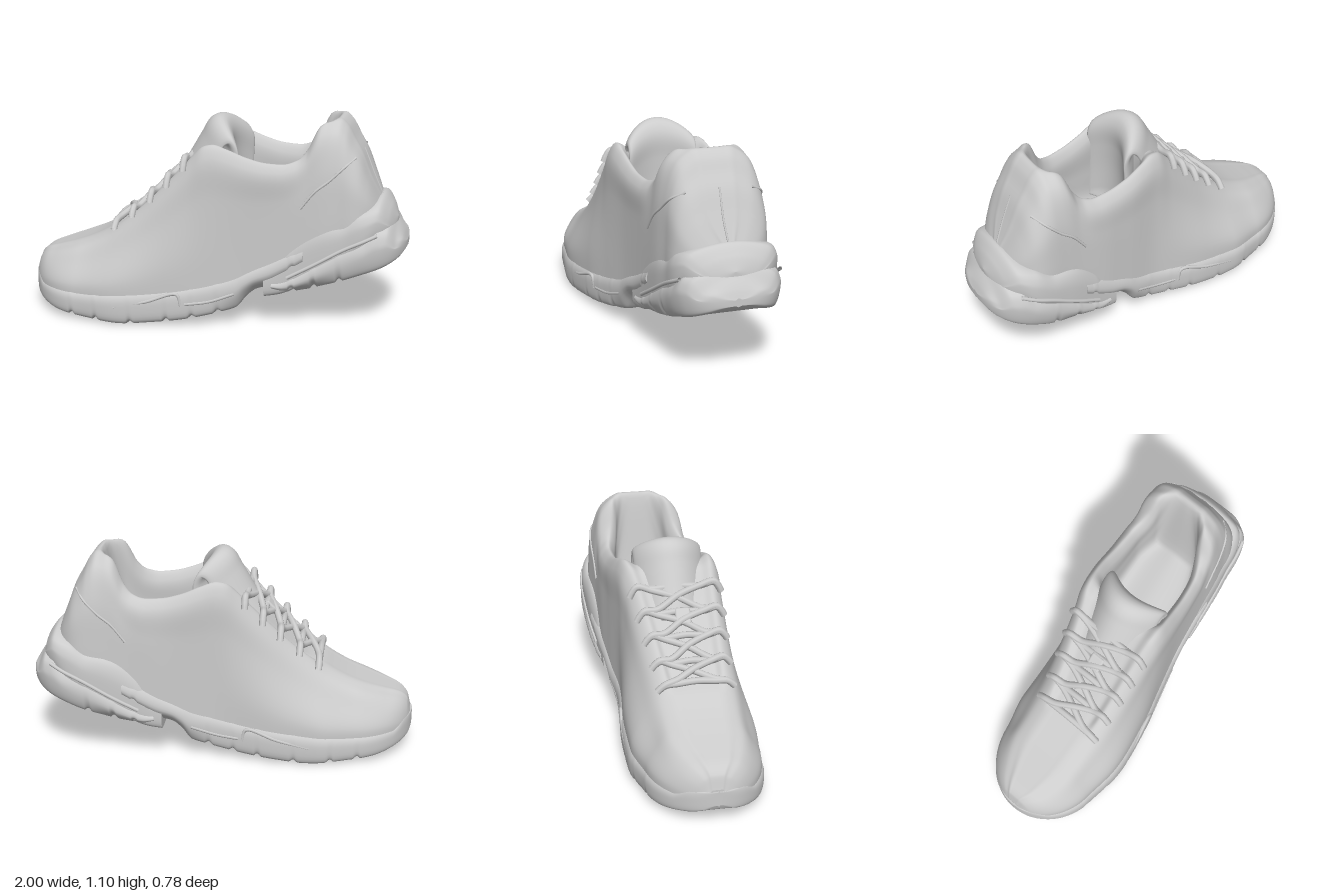
import * as THREE from 'three';
import { RoundedBoxGeometry } from 'three/addons/geometries/RoundedBoxGeometry.js';

const V = (x, y, z) => new THREE.Vector3(x, y, z);
const lerp = THREE.MathUtils.lerp;
const smooth = (a, b, x) => THREE.MathUtils.smoothstep(x, a, b);
const material = new THREE.MeshStandardMaterial({ color: 0xcccccc, side: THREE.DoubleSide });

// Monotone smooth curve through [x, value] pairs
function curve(pts) {
  const slope = (i) => (pts[i + 1][1] - pts[i][1]) / (pts[i + 1][0] - pts[i][0]);
  const tangent = (i) => {
    if (i === 0) return slope(0);
    if (i === pts.length - 1) return slope(i - 1);
    const a = slope(i - 1), b = slope(i);
    return a * b <= 0 ? 0 : (2 * a * b) / (a + b);
  };
  return (x) => {
    if (x <= pts[0][0]) return pts[0][1];
    if (x >= pts[pts.length - 1][0]) return pts[pts.length - 1][1];
    let i = 0;
    while (x > pts[i + 1][0]) i++;
    const d = pts[i + 1][0] - pts[i][0], t = (x - pts[i][0]) / d, u = 1 - t;
    return pts[i][1] * (1 + 2 * t) * u * u + tangent(i) * d * t * u * u
      + pts[i + 1][1] * t * t * (3 - 2 * t) - tangent(i + 1) * d * t * t * u;
  };
}

// Plan outline of the sole: left (+z) and far (-z) edges, with rounded toe and heel ends
const edgeF = curve([[-1, .35], [-.7, .365], [-.5, .385], [-.2, .34], [0, .285], [.2, .235], [.4, .205], [.6, .185],
  [.75, .165], [1, .155]]);
const edgeB = curve([[-1, -.2], [-.7, -.25], [-.5, -.3], [-.3, -.305], [0, -.285], [.2, -.315], [.4, -.35], [.6, -.385],
  [.75, -.395], [1, -.385]]);
function edges(x, inset) {
  const f = edgeF(x), b = edgeB(x), c = (f + b) / 2;
  const toe = Math.min(1, Math.max(0, (-.7 - x) / .3)), heel = Math.min(1, Math.max(0, (x - .75) / .25));
  const w = (f - b) * (.5 - inset) * Math.sqrt(1 - toe * toe) * (1 - heel ** 2.6) ** .385;
  return [c + w, c - w];
}

// Upper: ridge line, base line, rim edges, and how far the wall leans in at two heights
const topY = curve([[-.99, .2], [-.97, .27], [-.93, .305], [-.85, .335], [-.75, .37], [-.65, .41], [-.55, .465],
  [-.45, .54], [-.35, .625], [-.25, .725], [-.15, .83], [-.08, .91], [-.02, .965], [.03, .975], [.1, .955], [.2, .915],
  [.3, .89], [.38, .885], [.45, .905], [.5, .96], [.53, 1.03], [.555, 1.075], [.59, 1.092], [.64, 1.092], [.68, 1.06],
  [.72, .99], [.76, .92], [.8, .82], [.85, .7], [.88, .63]]);
const baseY = curve([[-1, .14], [-.5, .1], [0, .14], [.3, .27], [.6, .42], [.88, .56]]);
const rimF = curve([[-.99, .11], [-.9, .18], [-.7, .23], [-.5, .23], [-.1, .24], [0, .25], [.2, .23], [.4, .19],
  [.55, .1], [.65, .04], [.8, .01], [.88, -.1]]);
const rimB = curve([[-.99, .03], [-.9, -.03], [-.7, -.11], [-.5, -.12], [-.1, -.22], [0, -.26], [.2, -.3], [.4, -.305],
  [.55, -.255], [.65, -.225], [.8, -.2], [.88, -.13]]);
const leanMid = curve([[-.95, .29], [-.6, .46], [0, .45], [.4, .15], [.88, .15]]);
const leanHigh = curve([[-.95, .74], [-.6, .83], [.1, .8], [.5, .56], [.88, .6]]);

// Cross-section of the upper: outer wall, padded rim, then inner wall and insole where it opens
function upperSection(x) {
  const [eF, eEdge] = edges(x + .12 * smooth(.5, .88, x), .025);
  const eB = eEdge + .025 * smooth(.3, .6, x);
  const yT = topY(x), yB = baseY(x), h = yT - yB;
  const rF = rimF(x), rB = rimB(x), c = (rF + rB) / 2, a = (rF - rB) / 2;
  const open = smooth(.02, .1, x) * (1 - smooth(.54, .63, x));
  const floor = .45 + .3 * x;
  const crown = yT + lerp(.01, -.025, smooth(-.55, -.42, x) * (1 - smooth(.5, .6, x)));
  const side = (e, r, s) => [
    [e, yB], [lerp(e, r, .02), yB + .32 * h], [lerp(e, r, leanMid(x)), yB + .67 * h],
    [lerp(e, r, leanHigh(x)), yB + .91 * h], [c + s * a * .85, yT],
    [c + s * a * lerp(.64, .72, open), lerp(crown, yT - .06, open)],
    [c + s * a * lerp(.42, .74, open), lerp(crown, lerp(yT, floor, .6), open)],
    [c + s * a * lerp(.2, .66, open), lerp(crown, floor, open)],
  ];
  const pts = [...side(eF, rF, 1), [c, lerp(crown, floor, open)], ...side(eB, rB, -1).reverse()];
  return new THREE.CatmullRomCurve3(pts.map(([z, y]) => V(x, y, z)), false, 'centripetal');
}

// Cross-section of a sole part: slab with narrowed bottom (taper) and lowered top corners (drop)
function soleSection(x, yb, yt, [f, b], taper, drop) {
  const w = f - b, i = w * .07, h = yt - yb, c = (f + b) / 2, t = w * taper;
  const half = [[f - i * .7 - t, yb], [f - i * .2 - t * .9, yb + .1 * h], [f, yb + .45 * h],
    [f - i * .15, yb + .8 * h - drop], [f - i * .9, yt - drop], [lerp(f, c, .5), yt - drop * .3]];
  const far = half.map(([z, y]) => [2 * c - z, y]).reverse();
  const pts = [...half, [c, yt], ...far, [lerp(b, c, .5), yb], [lerp(f, c, .5), yb]];
  return new THREE.CatmullRomCurve3(pts.map(([z, y]) => V(x, y, z)), true, 'centripetal');
}

// Skin a list of point rings, collapsing both ends to close them
function skin(name, rings, closed) {
  const collapse = (ring) => {
    const mid = ring.reduce((sum, p) => sum.add(p), V(0, 0, 0)).divideScalar(ring.length);
    return ring.map(() => mid);
  };
  const all = [collapse(rings[0]), ...rings, collapse(rings[rings.length - 1])];
  const m = rings[0].length, pos = [], idx = [];
  all.forEach((r) => r.forEach((p) => pos.push(p.x, p.y, p.z)));
  for (let i = 0; i < all.length - 1; i++) {
    for (let j = 0; j < (closed ? m : m - 1); j++) {
      const k = (j + 1) % m, a = i * m + j, b = i * m + k, c = a + m, d = b + m;
      idx.push(a, c, b, c, d, b);
    }
  }
  const g = new THREE.BufferGeometry();
  g.setAttribute('position', new THREE.Float32BufferAttribute(pos, 3));
  g.setIndex(idx);
  g.computeVertexNormals();
  const mesh = new THREE.Mesh(g, material);
  mesh.name = name;
  return mesh;
}

// Loft a section function along x, with stations packed towards both ends
function loft(name, section, x0, x1, n, m, closed) {
  const rings = [];
  for (let i = 0; i <= n; i++) {
    const s = section(lerp(x0, x1, .5 - .5 * Math.cos((Math.PI * i) / n)));
    rings.push(Array.from({ length: m }, (_, j) => s.getPoint(j / (closed ? m : m - 1))));
  }
  return skin(name, rings, closed);
}

function tube(name, pts, radius) {
  const path = new THREE.CatmullRomCurve3(pts);
  const mesh = new THREE.Mesh(new THREE.TubeGeometry(path, pts.length * 6, radius, 8), material);
  mesh.name = name;
  return mesh;
}

// Point on the outer side of the upper at a given height
function onUpper(x, y, s) {
  const c = upperSection(x);
  for (let t = 0; t < .25; t += .004) {
    const p = c.getPoint(s > 0 ? t : 1 - t);
    if (p.y >= y) return p;
  }
  return c.getPoint(s > 0 ? .25 : .75);
}

export function createModel() {
  const shoe = new THREE.Group();
  shoe.name = 'shoe';

  shoe.add(loft('upper', upperSection, -.99, .88, 200, 97, false));

  // Sole parts, with tread grooves cut across the bottom
  const grooves = [-.72, -.58, -.39, -.2, -.07, .06, .44, .55, .68];
  const tread = (x) => grooves.reduce((s, g) => s + .017 * Math.max(0, 1 - ((x - g) / .018) ** 2), 0);
  const bottom = curve([[-1, .125], [-.985, .095], [-.93, .065], [-.8, .03], [-.6, .01], [-.45, .002], [-.3, .015],
    [-.1, .04], [.08, .08], [.15, .1], [.2, .16], [.25, .2], [.32, .22], [.42, .28], [.5, .34]]);
  const midTop = curve([[-1, .2], [-.96, .2], [-.9, .165], [-.7, .165], [-.4, .19], [-.1, .225], [.1, .27],
    [.3, .36], [.42, .42], [.5, .46]]);
  const midsole = (x) => soleSection(x, bottom(x) + tread(x), midTop(x), edges(x, 0), .08 * smooth(0, .3, x), 0);
  shoe.add(loft('forefootSole', midsole, -1, .5, 240, 52, true));

  const groove = curve([[.28, .25], [.38, .27], [.6, .4], [.8, .535], [.87, .595], [.91, .595], [.95, .55], [.98, .505],
    [1, .46]]);
  const wedgeTop = curve([[.3, .33], [.36, .37], [.43, .47], [.545, .555], [.68, .6], [.78, .675], [.86, .7],
    [.91, .65], [.945, .58]]);
  const wedge = (x) => soleSection(x, groove(x) - .08, wedgeTop(x),
    edges(x + .055 * smooth(.6, .945, x), .012), 0, .045 * smooth(.6, .85, x));
  shoe.add(loft('heelWedge', wedge, .3, .945, 100, 52, true));

  const podBottom = curve([[.34, .21], [.4, .19], [.5, .21], [.6, .245], [.7, .28], [.8, .32], [.9, .36], [.97, .4], [1, .43]]);
  const pod = (x) => soleSection(x, podBottom(x) + tread(x), groove(x), edges(x, 0),
    lerp(.09, .02, smooth(.4, .75, x)), .05 * smooth(.65, .9, x) * (1 - smooth(.95, 1, x)));
  shoe.add(loft('heelSole', pod, .34, 1, 140, 52, true));

  // Raised lines on both sides
  for (const s of [1, -1]) {
    shoe.add(tube('heelCounterSeam', [[.74, .92], [.69, .88], [.62, .81], [.55, .75], [.48, .66]]
      .map(([x, y]) => onUpper(x, y, s)), .007));
    const sideLine = (name, pts) => shoe.add(tube(name, pts.map(([x, y]) =>
      V(x, y, edges(x, .012)[s > 0 ? 0 : 1])), .01));
    sideLine('midsoleTrim', [[-.47, .1], [-.3, .14], [-.14, .185], [-.12, .12]]);
    sideLine('midsoleBar', [[-.1, .13], [.02, .145], [.15, .19]]);
    sideLine('heelGrooveTrim', [[.42, .29], [.55, .365], [.7, .455], [.8, .505], [.87, .54]]);
  }
  shoe.add(tube('heelSeam', [.755, .785, .81, .835, .855].map((x) => upperSection(x).getPoint(.5)), .005));

  // Padded tongue: flattened tube, folded at the top, with its edges swept back around the ankle
  const fold = new THREE.CatmullRomCurve3([V(-.2, .73, 0), V(-.12, .86, 0), V(-.05, .98, 0), V(-.01, 1.045, 0),
    V(.02, 1.055, 0), V(.05, 1.01, 0), V(.05, .9, 0), V(.05, .76, 0), V(.06, .6, 0)]);
  const tongue = [];
  for (let i = 0; i <= 44; i++) {
    const p = fold.getPoint(i / 44), t = fold.getTangent(i / 44);
    tongue.push(Array.from({ length: 36 }, (_, j) => {
      const a = (j / 36) * Math.PI * 2, z = -.18 * Math.sin(a);
      const k = .038 * Math.sign(Math.cos(a)) * Math.abs(Math.cos(a)) ** .7;
      return V(p.x - t.y * k + 2.8 * z * z, p.y + t.x * k - 2.2 * z * z, z);
    }));
  }
  shoe.add(skin('tongue', tongue, true));

  // Laces: straight bars with a crossing pair between neighbouring eyelets
  const eyelets = [-.49, -.39, -.29, -.2, -.11];
  const steps = [3.2, 3.5, 4, 5.5, 8, 10.5, 12, 12.5, 12.8];
  const lace = (xF, xB, lift) => tube('lace', steps.map((k) => {
    const f = (k - 3.2) / 9.6;
    const p = upperSection(lerp(xF, xB, smooth(.1, .9, f))).getPoint(k / 16);
    return p.add(V(-.012, .008 + lift * Math.sin(f * Math.PI), .006 * Math.cos(f * Math.PI)));
  }), .018);
  eyelets.forEach((x, i) => {
    shoe.add(lace(x, x, .025));
    if (i < eyelets.length - 1) {
      shoe.add(lace(x, eyelets[i + 1], .03), lace(eyelets[i + 1], x, .045));
    }
  });
  const keeper = new THREE.Mesh(new RoundedBoxGeometry(.09, .03, .08, 3, .012), material);
  keeper.name = 'laceKeeper';
  keeper.position.set(-.24, .765, .03);
  keeper.rotation.z = .8;
  shoe.add(keeper);

  return shoe;
}
